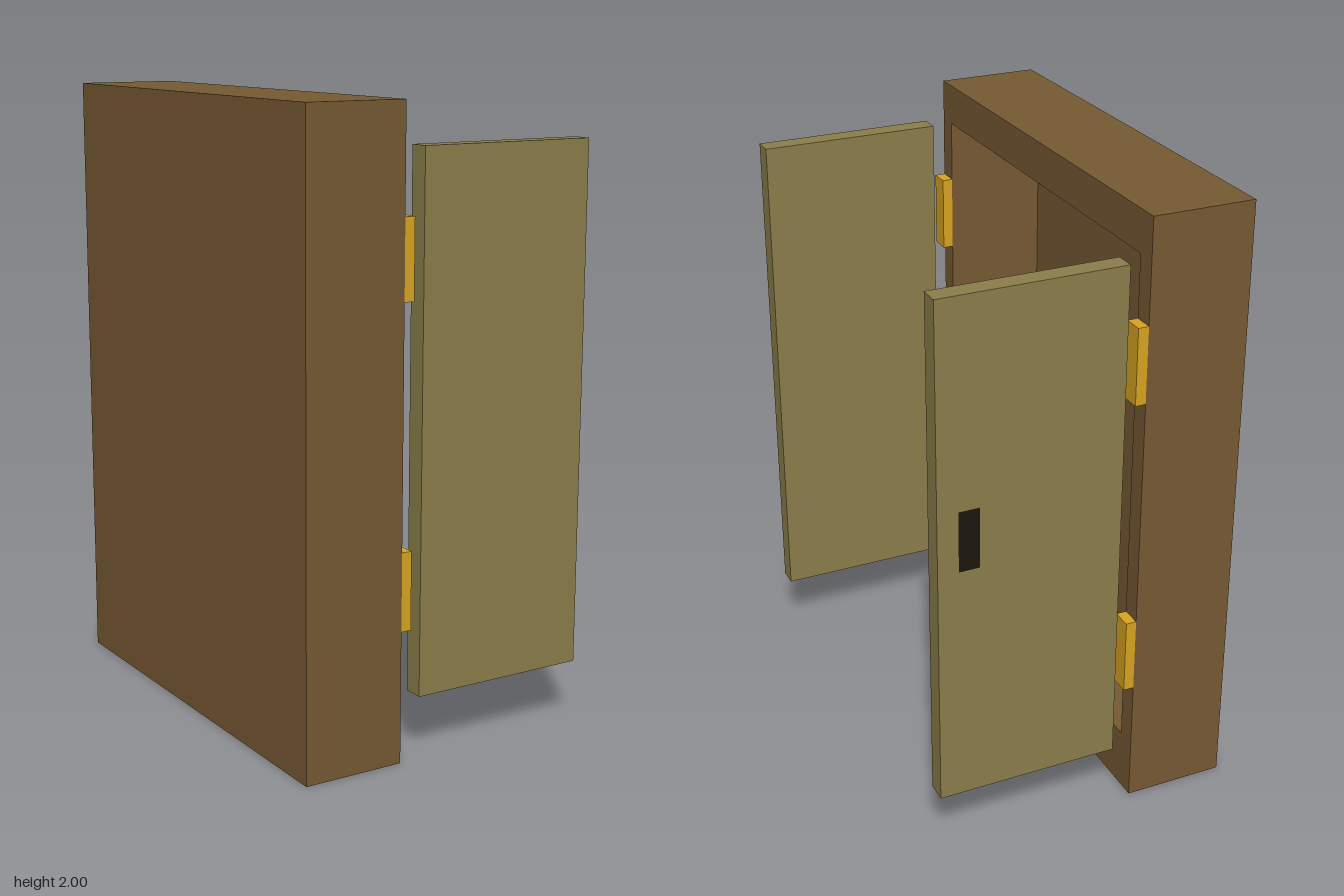
import * as THREE from 'three';

const WOOD = new THREE.MeshStandardMaterial({ color: 0x775a33, side: THREE.DoubleSide });
const DOOR = new THREE.MeshStandardMaterial({ color: 0x8c7e4b });
const BRASS = new THREE.MeshStandardMaterial({ color: 0xdaa520 });
const DARK = new THREE.MeshStandardMaterial({ color: 0x1c160c, side: THREE.DoubleSide });

// Cabinet extents: the opening faces +x
const BACK = -0.5, FRONT = -0.167, DEPTH = FRONT - BACK, MID = (FRONT + BACK) / 2;
const HEIGHT = 2, HALF = 0.733;
const IN_BOTTOM = 0.2, IN_TOP = 1.867, IN_HALF = 0.667;

function add(parent, name, geometry, material, x, y, z) {
  const mesh = new THREE.Mesh(geometry, material);
  mesh.name = name;
  mesh.position.set(x, y, z);
  parent.add(mesh);
  return mesh;
}

// Thin level board spanning the cabinet depth
function levelBoard(parent, name, half, y, up) {
  const g = new THREE.PlaneGeometry(DEPTH, half * 2).rotateX(up ? -Math.PI / 2 : Math.PI / 2);
  add(parent, name, g, WOOD, MID, y, 0);
}

// Thin upright board spanning the cabinet depth
function sideBoard(parent, name, y0, y1, z, facing) {
  const g = new THREE.PlaneGeometry(DEPTH, y1 - y0);
  if (facing < 0) g.rotateY(Math.PI);
  add(parent, name, g, WOOD, MID, (y0 + y1) / 2, z);
}

function rectangle(target, half, y0, y1) {
  target.moveTo(-half, y0);
  target.lineTo(half, y0);
  target.lineTo(half, y1);
  target.lineTo(-half, y1);
  target.closePath();
  return target;
}

export function createModel() {
  const model = new THREE.Group();
  model.name = 'openCabinet';

  // Hollow cabinet shell, open underneath
  const cabinet = new THREE.Group();
  cabinet.name = 'cabinet';
  model.add(cabinet);
  levelBoard(cabinet, 'top', HALF, HEIGHT, true);
  add(cabinet, 'back', new THREE.PlaneGeometry(HALF * 2, HEIGHT).rotateY(-Math.PI / 2),
    WOOD, BACK, HEIGHT / 2, 0);

  // Face frame around the opening
  const face = rectangle(new THREE.Shape(), HALF, 0, HEIGHT);
  face.holes.push(rectangle(new THREE.Path(), IN_HALF, IN_BOTTOM, IN_TOP));
  add(cabinet, 'faceFrame', new THREE.ShapeGeometry(face).rotateY(Math.PI / 2), WOOD, FRONT, 0, 0);

  // Inner lining
  levelBoard(cabinet, 'floor', IN_HALF, IN_BOTTOM, true);
  levelBoard(cabinet, 'ceiling', IN_HALF, IN_TOP, false);

  for (const s of [1, -1]) {
    const label = s > 0 ? 'front' : 'rear';
    sideBoard(cabinet, label + 'Side', 0, HEIGHT, s * HALF, s);
    sideBoard(cabinet, label + 'Lining', IN_BOTTOM, IN_TOP, s * IN_HALF, -s);

    // Open door with its two hinges
    add(model, label + 'Door', new THREE.BoxGeometry(0.6, IN_TOP - IN_BOTTOM, 0.066),
      DOOR, 0.2, (IN_TOP + IN_BOTTOM) / 2, s * 0.7);
    for (const y of [0.543, 1.543]) {
      add(model, label + 'Hinge', new THREE.BoxGeometry(0.034, 0.248, 0.066),
        BRASS, FRONT + 0.017, y, s * 0.7);
    }
  }

  // Flat handle plate on the outside of the rear door
  add(model, 'handle', new THREE.PlaneGeometry(0.067, 0.2).rotateY(Math.PI), DARK, 0.4, 1.1, -0.735);

  return model;
}
